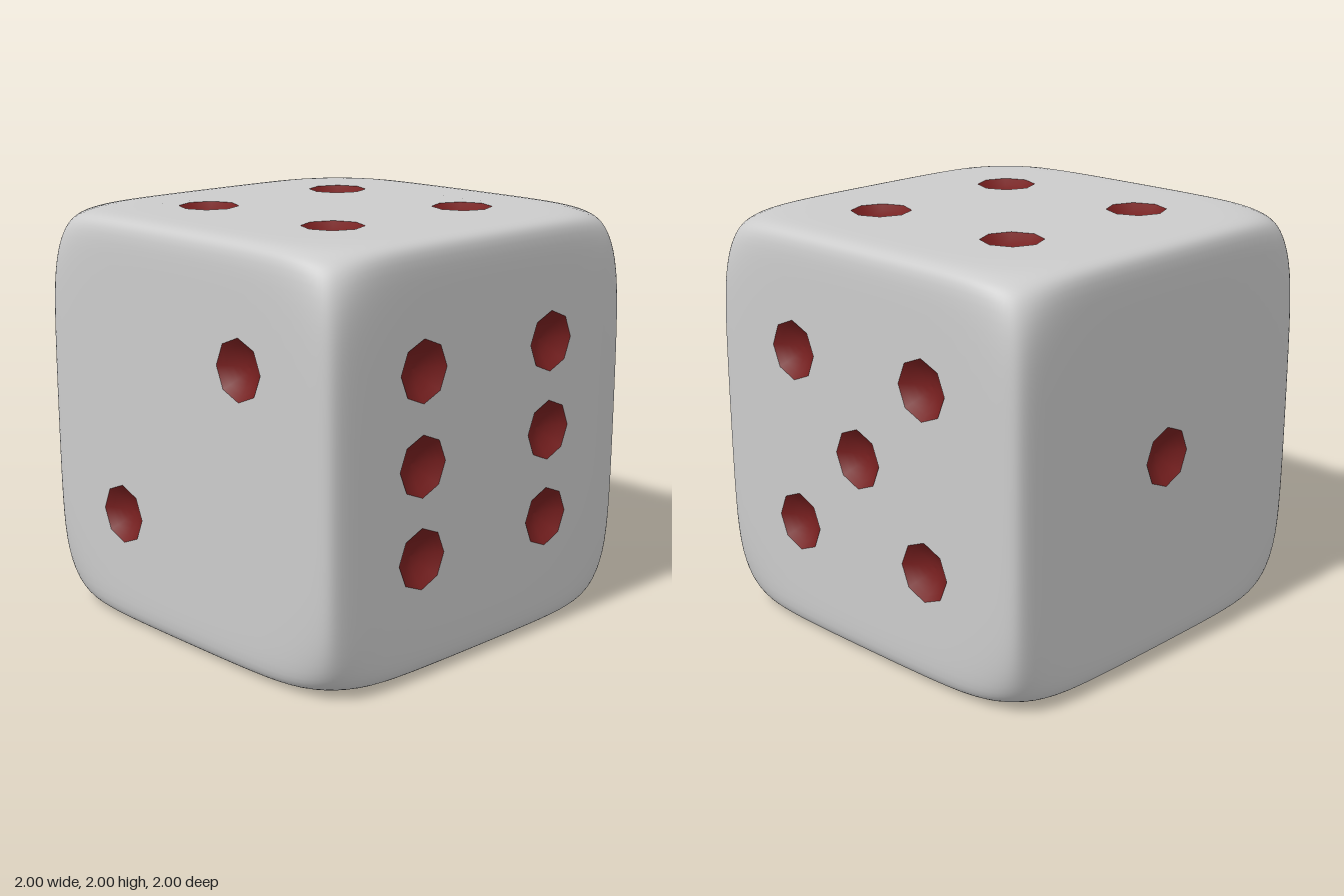
import * as THREE from 'three';
import { mergeGeometries } from 'three/addons/utils/BufferGeometryUtils.js';

const POWER = 26;        // sharpness of the cube edges
const BALL = 1.6;        // radius of the ball that trims the corners
const PIP_RADIUS = 0.145, PIP_DEPTH = 0.07, D = 0.43;
const STEPS = 16, PANEL = 7; // grid lines from centre to edge, and where the flat panel ends

const line = (i) => Math.sin((i / STEPS) * Math.PI / 2);

// Pip positions on each face, and the turn that brings the front face there
const corners = [[D, D], [-D, -D], [D, -D], [-D, D]];
const faces = [
  { name: 'front', turn: [0, 0, 0], pips: [[D, D], [-D, -D]] },
  { name: 'back', turn: [0, Math.PI, 0], pips: [...corners, [0, 0]] },
  { name: 'right', turn: [0, Math.PI / 2, 0], pips: [...corners, [D, 0], [-D, 0]] },
  { name: 'left', turn: [0, -Math.PI / 2, 0], pips: [[0, 0]] },
  { name: 'top', turn: [-Math.PI / 2, 0, 0], pips: corners },
  { name: 'bottom', turn: [Math.PI / 2, 0, 0], pips: [[D, D], [0, 0], [-D, -D]] },
];

// Moves cube points onto the rounded cube and sets exact smooth normals
function roundOff(geo) {
  const pos = geo.attributes.position, normals = [];
  const p = new THREE.Vector3(), n = new THREE.Vector3();
  for (let i = 0; i < pos.count; i++) {
    p.fromBufferAttribute(pos, i);
    const sum = p.toArray().reduce((s, c) => s + Math.abs(c) ** POWER, (p.length() / BALL) ** POWER);
    p.multiplyScalar(sum ** (-1 / POWER));
    const ball = p.length() ** (POWER - 2) / BALL ** POWER;
    n.fromArray(p.toArray().map((c) => Math.sign(c) * Math.abs(c) ** (POWER - 1) + c * ball)).normalize();
    pos.setXYZ(i, p.x, p.y, p.z);
    normals.push(n.x, n.y, n.z);
  }
  geo.setAttribute('normal', new THREE.Float32BufferAttribute(normals, 3));
  return geo;
}

// Middle of a face, with an eight-sided hole for each pip
function panelGeometry(pips) {
  const h = line(PANEL), outline = [];
  for (let side = 0; side < 4; side++) {
    for (let i = -PANEL; i < PANEL; i++) {
      outline.push(new THREE.Vector2(line(i), -h).rotateAround(new THREE.Vector2(), side * Math.PI / 2));
    }
  }
  const shape = new THREE.Shape(outline);
  for (const [x, y] of pips) {
    const hole = [];
    for (let k = 0; k < 8; k++) {
      const a = -k * Math.PI / 4;
      hole.push(new THREE.Vector2(x + PIP_RADIUS * Math.cos(a), y + PIP_RADIUS * Math.sin(a)));
    }
    shape.holes.push(new THREE.Path(hole));
  }
  const geo = new THREE.ShapeGeometry(shape).translate(0, 0, 1);
  geo.deleteAttribute('uv');
  return roundOff(geo);
}

// Border of a face, curving over to the neighbouring faces
function borderGeometry() {
  const points = [], index = [], row = 2 * STEPS + 1;
  for (let j = -STEPS; j <= STEPS; j++) {
    for (let i = -STEPS; i <= STEPS; i++) points.push(line(i), line(j), 1);
  }
  const inside = (i) => i >= STEPS - PANEL && i < STEPS + PANEL;
  for (let j = 0; j < row - 1; j++) {
    for (let i = 0; i < row - 1; i++) {
      if (inside(i) && inside(j)) continue;
      const a = j * row + i, b = a + 1, c = a + row, d = c + 1;
      index.push(a, b, d, a, d, c);
    }
  }
  const geo = new THREE.BufferGeometry();
  geo.setAttribute('position', new THREE.Float32BufferAttribute(points, 3));
  geo.setIndex(index);
  return roundOff(geo);
}

// Hollow bowl that fills a hole, opening towards +z
function pipGeometry() {
  const profile = [];
  for (let i = 0; i <= 5; i++) {
    const t = i / 5;
    profile.push(new THREE.Vector2(PIP_RADIUS * t, -PIP_DEPTH * (1 - t * t)));
  }
  return new THREE.LatheGeometry(profile, 8).rotateX(Math.PI / 2);
}

export function createModel() {
  const model = new THREE.Group();
  model.name = 'die';
  const grey = new THREE.MeshStandardMaterial({ color: 0xcccccc });
  const red = new THREE.MeshStandardMaterial({ color: 0x761f1f, side: THREE.DoubleSide });
  const bowl = pipGeometry(), shell = [];

  for (const { name, turn, pips } of faces) {
    const rotation = new THREE.Euler(...turn);
    const matrix = new THREE.Matrix4().makeRotationFromEuler(rotation);
    shell.push(panelGeometry(pips).applyMatrix4(matrix), borderGeometry().applyMatrix4(matrix));

    const group = new THREE.Group();
    group.name = name + 'Pips';
    group.rotation.copy(rotation);
    group.position.y = 1;
    for (const [x, y] of pips) {
      const pip = new THREE.Mesh(bowl, red);
      pip.name = 'pip';
      pip.position.set(x, y, 1);
      group.add(pip);
    }
    model.add(group);
  }

  const body = new THREE.Mesh(mergeGeometries(shell), grey);
  body.name = 'body';
  body.position.y = 1;
  model.add(body);
  return model;
}
